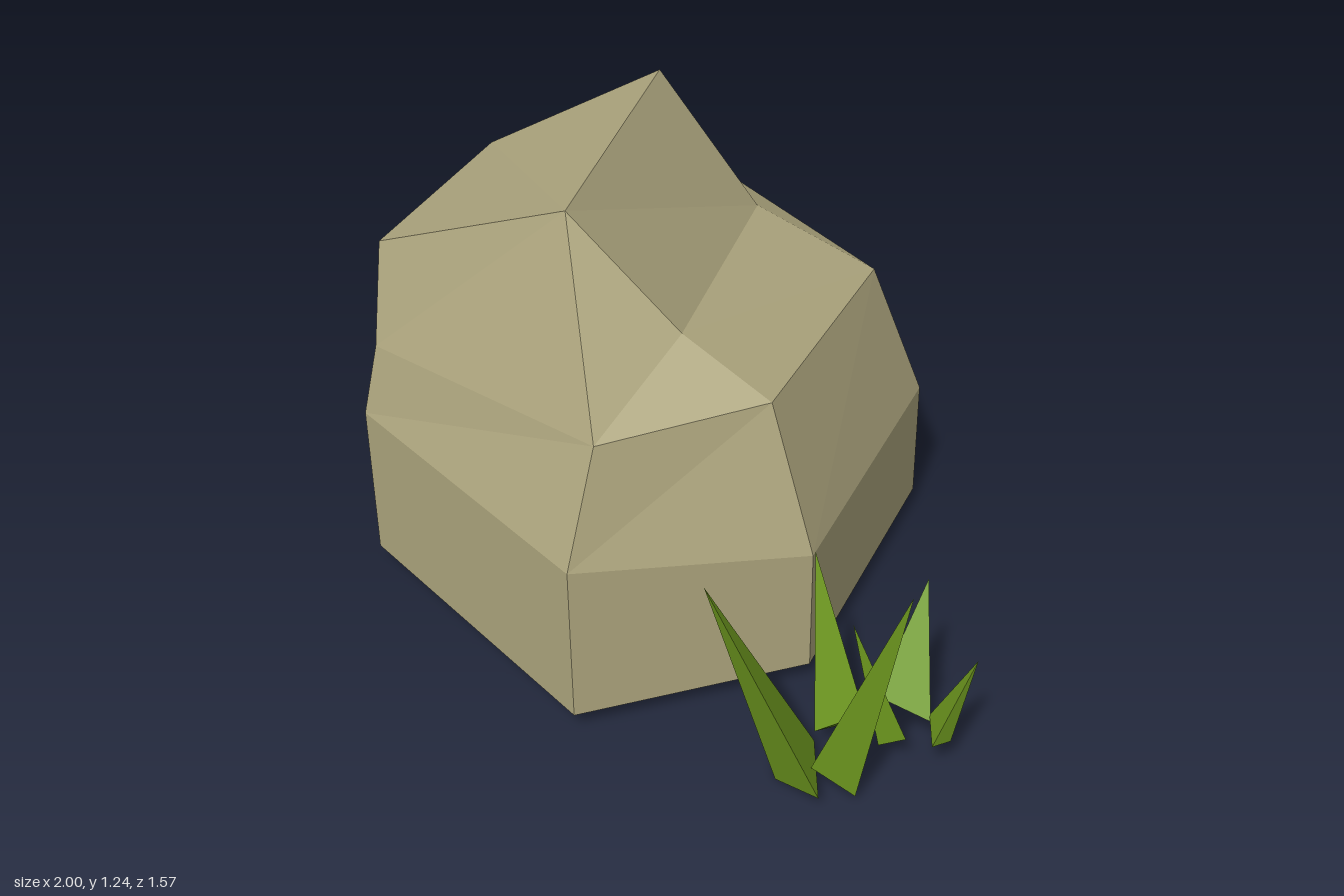
import * as THREE from 'three';
import { ConvexGeometry } from 'three/addons/geometries/ConvexGeometry.js';

// Faceted boulder, open underneath: corner points joined by polygons
function createBoulder() {
  // six-sided footprint, and the height of each wall corner
  const foot = [[-1, -0.28], [-0.75, 0.57], [0.14, 0.78], [0.5, 0.265], [0.3, -0.56], [-0.57, -0.785]];
  const wallTop = [0.51, 0.51, 0.51, 0.415, 0.415, 0.51];
  const points = [
    ...foot.map(([x, z]) => [x, 0.065, z]),             // 0-5 ground ring
    ...foot.map(([x, z], i) => [x, wallTop[i], z]),     // 6-11 wall ring
    [-0.955, 0.71, -0.27], [-0.725, 0.71, 0.53],        // 12-17 shoulder ring
    [0.135, 0.81, 0.66], [0.36, 0.81, 0.255],
    [0.195, 0.81, -0.455], [-0.47, 0.81, -0.685],
    [-0.94, 0.97, -0.18], [-0.77, 0.97, 0.44],          // 18-19 left crest
    [-0.13, 1.25, 0.425], [-0.47, 1.25, -0.37],         // 20-21 top ridge
    [0.14, 0.96, 0.325], [-0.2, 0.88, -0.46],           // 22-23 back of the right ledge
  ];

  const faces = [
    [12, 13, 19, 18],   // left
    [18, 19, 20, 21],   // left slope
    [20, 19, 13, 14],   // front
    [20, 14, 22], [22, 14, 15],
    [22, 15, 16, 23],   // right ledge
    [20, 22, 23, 21],   // right slope
    [21, 23, 17], [23, 16, 17],
    [18, 21, 17, 12],   // back left
  ];
  // two bands of wall around the footprint
  for (const low of [0, 6]) {
    for (let i = 0; i < 6; i++) {
      const j = (i + 1) % 6;
      faces.push([low + i, low + j, low + 6 + j, low + 6 + i]);
    }
  }

  const positions = [];
  for (const f of faces) {
    for (let i = 1; i < f.length - 1; i++) {
      positions.push(...points[f[0]], ...points[f[i]], ...points[f[i + 1]]);
    }
  }
  const geometry = new THREE.BufferGeometry();
  geometry.setAttribute('position', new THREE.Float32BufferAttribute(positions, 3));
  geometry.computeVertexNormals();
  const boulder = new THREE.Mesh(geometry, new THREE.MeshStandardMaterial({
    color: 0xb0a880, flatShading: true, side: THREE.DoubleSide,
  }));
  boulder.name = 'boulder';
  return boulder;
}

// Tuft of grass: every blade is a spike on a three-cornered base
function createGrass() {
  const grass = new THREE.Group();
  grass.name = 'grassTuft';
  const material = new THREE.MeshStandardMaterial({ color: 0x6f9a1f, flatShading: true });

  // tip followed by the three base corners
  const blades = [
    [[0.515, 0.62, 0.735], [0.675, 0.07, 0.5], [0.79, 0.06, 0.65], [0.64, 0.01, 0.615]],
    [[0.97, 0.705, 0.575], [0.79, 0.1, 0.42], [0.74, 0.1, 0.61], [0.84, 0.03, 0.565]],
    [[0.75, 0.45, 0.465], [0.77, 0.12, 0.335], [0.875, 0.11, 0.4], [0.81, 0.07, 0.42]],
    [[0.565, 0.515, 0.355], [0.745, 0.11, 0.385], [0.675, 0.1, 0.5], [0.68, 0.06, 0.42]],
    [[0.77, 0.4, 0.155], [0.89, 0.11, 0.31], [0.735, 0.12, 0.32], [0.8, 0.07, 0.24]],
    [[0.995, 0.345, 0.29], [0.88, 0.12, 0.3], [0.94, 0.11, 0.385], [0.96, 0.1, 0.33]],
  ];
  blades.forEach((corners, i) => {
    const geometry = new ConvexGeometry(corners.map((c) => new THREE.Vector3(...c)));
    const blade = new THREE.Mesh(geometry, material);
    blade.name = `grassBlade${i + 1}`;
    grass.add(blade);
  });
  return grass;
}

export function createModel() {
  const model = new THREE.Group();
  model.name = 'boulderWithGrass';
  model.add(createBoulder(), createGrass());
  return model;
}
